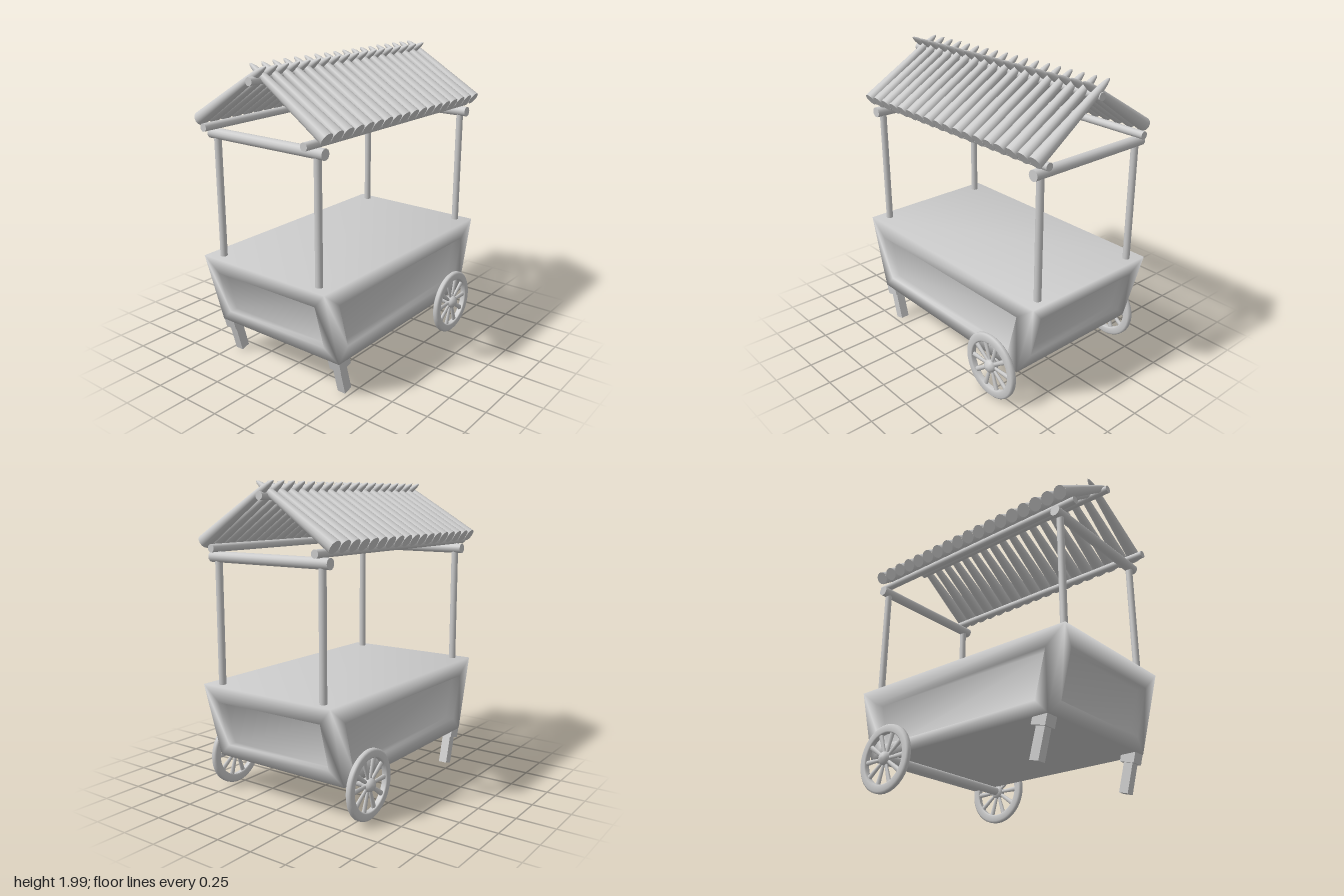
import * as THREE from 'three';

const mat = new THREE.MeshStandardMaterial({ color: 0xcccccc });

function add(parent, name, geo, x = 0, y = 0, z = 0) {
  const mesh = new THREE.Mesh(geo, mat);
  mesh.name = name;
  mesh.position.set(x, y, z);
  parent.add(mesh);
  return mesh;
}

// Round pole between two points
function pole(parent, name, a, b, r) {
  const p = new THREE.Vector3(...a), q = new THREE.Vector3(...b);
  const mesh = add(parent, name, new THREE.CylinderGeometry(r, r, p.distanceTo(q), 16));
  mesh.position.copy(p).add(q).multiplyScalar(0.5);
  mesh.quaternion.setFromUnitVectors(new THREE.Vector3(0, 1, 0), q.sub(p).normalize());
  return mesh;
}

// Flared box with a recessed panel on every side, softly shaded across its edges
function bodyGeometry() {
  const pos = [], index = [];
  const vert = (x, y, z) => pos.push(x, y, z) / 3 - 1;
  const quad = (a, b, c, d) => index.push(a, b, c, a, c, d);
  const left = y => -0.695 - 0.27 * (y - 0.25);
  const right = y => 0.715 + 0.27 * (y - 0.25);
  const Y0 = 0.25, Y1 = 0.75, P0 = 0.34, P1 = 0.64, Z = 0.495, PZ = 0.4, IN = 0.11, D = 0.06;

  // Hull corners: four below, four above
  const ring = y => [
    vert(left(y), y, Z), vert(right(y), y, Z), vert(right(y), y, -Z), vert(left(y), y, -Z)];
  const lo = ring(Y0), hi = ring(Y1);
  quad(...hi);
  quad(lo[3], lo[2], lo[1], lo[0]);

  // Panel corners per side, in the order lower start, lower end, upper end, upper start
  const along = s => [[0, P0], [1, P0], [1, P1], [0, P1]].map(([e, y]) =>
    [(s > 0) === (e === 1) ? right(y) - IN : left(y) + IN, y, s * Z]);
  const across = s => [[0, P0], [1, P0], [1, P1], [0, P1]].map(([e, y]) =>
    [s > 0 ? right(y) : left(y), y, (e ? -s : s) * PZ]);
  const sides = [
    [along(1), [0, 0, -D]], [across(1), [-D, 0, 0]],
    [along(-1), [0, 0, D]], [across(-1), [D, 0, 0]]];

  sides.forEach(([panel, inward], i) => {
    const j = (i + 1) % 4;
    const o = [lo[i], lo[j], hi[j], hi[i]];
    const p = panel.map(c => vert(...c));
    const q = panel.map(c => vert(...c.map((v, k) => v + inward[k])));
    for (let k = 0; k < 4; k++) {
      const n = (k + 1) % 4;
      quad(o[k], o[n], p[n], p[k]);
      quad(p[k], p[n], q[n], q[k]);
    }
    quad(...q);
  });

  const geo = new THREE.BufferGeometry();
  geo.setAttribute('position', new THREE.Float32BufferAttribute(pos, 3));
  geo.setIndex(index);
  geo.computeVertexNormals();
  return geo;
}

const profile = pts => pts.map(([x, y]) => new THREE.Vector2(x, y));

// Spoked wheel, built around the z axis
function makeWheel() {
  const wheel = new THREE.Group();
  wheel.name = 'wheel';
  const rim = add(wheel, 'rim', new THREE.LatheGeometry(profile([
    [0.165, -0.014], [0.173, -0.02], [0.208, -0.02], [0.22, -0.01], [0.22, 0.01],
    [0.208, 0.02], [0.173, 0.02], [0.165, 0.014], [0.165, -0.014]]), 40));
  rim.rotation.x = Math.PI / 2;

  const hub = add(wheel, 'hub', new THREE.LatheGeometry(profile([
    [0, -0.03], [0.04, -0.025], [0.045, 0], [0.04, 0.022], [0.022, 0.037], [0, 0.04]]), 16));
  hub.rotation.x = Math.PI / 2;

  const count = 10;
  for (let i = 0; i < count; i++) {
    const a = (i + 0.5) / count * Math.PI * 2;
    const geo = new THREE.CylinderGeometry(0.018, 0.011, 0.15, 8);
    geo.scale(1, 1, 0.7);
    const spoke = add(wheel, 'spoke', geo, -Math.sin(a) * 0.1, Math.cos(a) * 0.1, 0);
    spoke.rotation.z = a;
  }
  return wheel;
}

export function createModel() {
  const cart = new THREE.Group();
  cart.name = 'marketCart';

  add(cart, 'body', bodyGeometry());

  // Slanted legs in corner sockets at the right end
  for (const s of [1, -1]) {
    const socket = add(cart, 'legSocket', new THREE.BoxGeometry(0.1, 0.12, 0.088), -0.642, 0.256, s * 0.45);
    const leg = add(cart, 'leg', new THREE.BoxGeometry(0.063, 0.26, 0.058), -0.615, 0.14, s * 0.447);
    socket.rotation.z = leg.rotation.z = 0.263;
  }

  // Wheels and axle at the left end
  pole(cart, 'axle', [0.53, 0.225, -0.55], [0.53, 0.225, 0.55], 0.028);
  for (const s of [1, -1]) {
    const wheel = makeWheel();
    wheel.position.set(0.53, 0.222, s * 0.54);
    if (s < 0) wheel.rotation.y = Math.PI;
    cart.add(wheel);
  }

  // Canopy frame
  for (const x of [-0.753, 0.783]) {
    for (const z of [-0.397, 0.397]) pole(cart, 'post', [x, 0.74, z], [x, 1.53, z], 0.023);
    pole(cart, 'crossBeam', [x, 1.545, -0.452], [x, 1.545, 0.452], 0.034);
  }
  for (const z of [-0.395, 0.395]) pole(cart, 'eaveBeam', [-0.867, 1.6, z], [0.85, 1.6, z], 0.025);
  pole(cart, 'ridgeBeam', [-0.867, 1.91, 0], [0.85, 1.91, 0], 0.025);

  // Tapered roof slats that cross over the ridge, the two rows staggered
  const slatGeo = new THREE.LatheGeometry(profile([
    [0.044, 0], [0.036, 0.25], [0.027, 0.5], [0.023, 0.58], [0.017, 0.625], [0.009, 0.655], [0, 0.667]]), 14);
  const capGeo = new THREE.CircleGeometry(0.044, 14);
  capGeo.rotateX(Math.PI / 2);
  for (const s of [1, -1]) {
    const row = new THREE.Group();
    row.name = s > 0 ? 'frontRoofSlats' : 'backRoofSlats';
    for (let i = 0; i < 18; i++) {
      const x = (s > 0 ? -0.768 : -0.812) + i * 0.0934;
      for (const [name, geo] of [['slat', slatGeo], ['slatEnd', capGeo]]) {
        const mesh = add(row, name, geo, x, 1.635, s * 0.477);
        mesh.rotation.x = -s * Math.atan2(0.562, 0.36);
      }
    }
    cart.add(row);
  }
  return cart;
}
